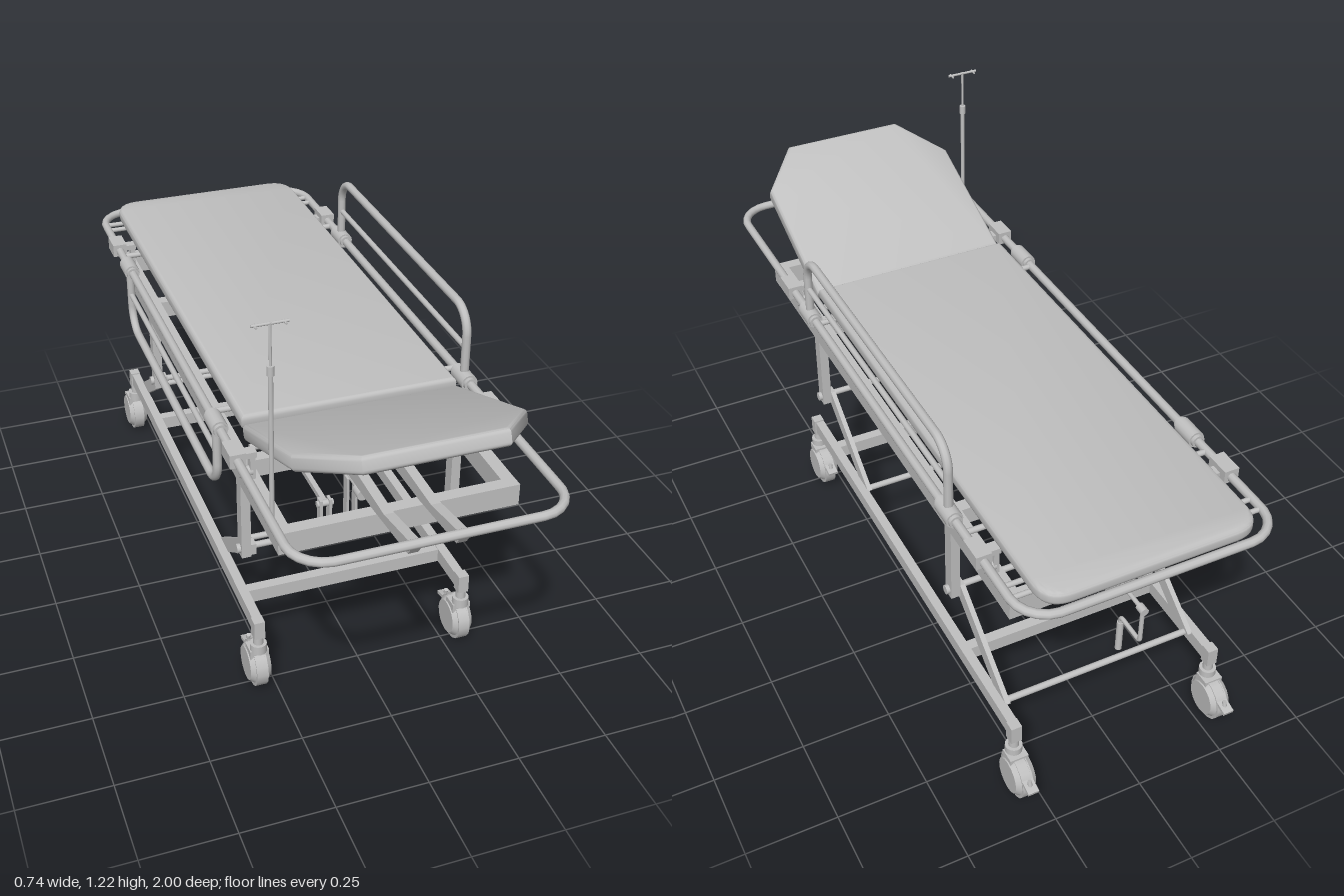
import * as THREE from 'three';
import { toCreasedNormals } from 'three/addons/utils/BufferGeometryUtils.js';

const grey = new THREE.MeshStandardMaterial({ color: 0xc0c0c0 });
grey.name = 'light grey';
const V = (x, y, z) => new THREE.Vector3(x, y, z);

function add(parent, name, geo, x = 0, y = 0, z = 0) {
  const m = new THREE.Mesh(geo, grey);
  m.name = name;
  m.position.set(x, y, z);
  parent.add(m);
  return m;
}
const box = (p, name, w, h, d, x, y, z) => add(p, name, new THREE.BoxGeometry(w, h, d), x, y, z);

// Round bar between two points
function rod(p, name, a, b, r, r2 = r) {
  const dir = b.clone().sub(a);
  const m = add(p, name, new THREE.CylinderGeometry(r2, r, dir.length(), 16));
  m.position.copy(a).add(b).multiplyScalar(0.5);
  m.quaternion.setFromUnitVectors(V(0, 1, 0), dir.normalize());
  return m;
}

// Bent tube through points, corners rounded by radius c
function bentTube(p, name, pts, c, r, closed = false) {
  const path = new THREE.CurvePath();
  const n = pts.length;
  const toward = (a, b) => a.clone().add(b.clone().sub(a).setLength(c));
  let start = closed ? toward(pts[0], pts[1]) : pts[0];
  for (let i = 1; i < (closed ? n + 1 : n - 1); i++) {
    const k = pts[i % n], next = pts[(i + 1) % n];
    const before = toward(k, pts[i - 1]), after = toward(k, next);
    const arm = 0.55;
    path.add(new THREE.LineCurve3(start, before));
    path.add(new THREE.CubicBezierCurve3(before, before.clone().lerp(k, arm), after.clone().lerp(k, arm), after));
    start = after;
  }
  if (!closed) path.add(new THREE.LineCurve3(start, pts[n - 1]));
  path.arcLengthDivisions = 400;
  return add(p, name, new THREE.TubeGeometry(path, closed ? 200 : 100, r, 10, closed));
}

// Plate cut from a side profile of [z, y] points, centred on x
function sidePlate(p, name, pts, w, x) {
  const g = new THREE.ExtrudeGeometry(new THREE.Shape(pts.map(q => new THREE.Vector2(...q))), { depth: w, bevelEnabled: false });
  g.rotateY(-Math.PI / 2);
  g.translate(x + w / 2, 0, 0);
  return add(p, name, g);
}

// Cushion from a plan shape (x, z), top at y = 0, softened edges
function cushion(p, name, shape, thick, bevel) {
  const g = new THREE.ExtrudeGeometry(shape, {
    depth: thick - 2 * bevel, bevelThickness: bevel, bevelSize: bevel, bevelOffset: -bevel, bevelSegments: 4, curveSegments: 10
  });
  g.rotateX(Math.PI / 2);
  g.translate(0, -bevel, 0);
  return add(p, name, toCreasedNormals(g, 0.7));
}

function caster(p, x, z) {
  const g = new THREE.Group();
  g.name = 'caster';
  g.position.set(x, 0, z);
  rod(g, 'casterStem', V(0, 0.14, 0), V(0, 0.19, 0), 0.014);
  rod(g, 'casterSwivel', V(0, 0.125, 0), V(0, 0.152, 0), 0.023);
  rod(g, 'casterWheel', V(-0.016, 0.064, -0.025), V(0.016, 0.064, -0.025), 0.064);
  // side covers with a rounded rim
  for (const s of [-1, 1]) rod(g, 'casterCover', V(s * 0.012, 0.068, -0.025), V(s * 0.029, 0.068, -0.025), 0.061, 0.048);
  box(g, 'casterFork', 0.052, 0.05, 0.045, 0, 0.107, -0.012);
  const pedal = box(g, 'brakePedal', 0.03, 0.01, 0.045, 0, 0.088, -0.092);
  pedal.rotation.x = -0.25;
  rod(g, 'brakePin', V(0, 0.072, -0.098), V(0, 0.105, -0.09), 0.006);
  p.add(g);
}

// Guard rail: up = 1 raised, -1 folded down
function guardRail(p, x, up) {
  const y = 0.755, z0 = 0.355, z1 = -0.575, h = y + up * 0.197;
  bentTube(p, 'guardRail', [V(x, y, z0), V(x, h, z0), V(x, h, z1), V(x, y, z1)], 0.07, 0.012);
  rod(p, 'guardMiddleBar', V(x, y + up * 0.09, z0), V(x, y + up * 0.09, z1), 0.008);
  for (const z of [z0, z1]) {
    rod(p, 'guardHinge', V(x, y, z - 0.035), V(x, y, z + 0.035), 0.023);
    for (const s of [-1, 1]) rod(p, 'guardHingeCollar', V(x, y, z + s * 0.035), V(x, y, z + s * 0.045), 0.018);
  }
}

export function createModel() {
  const g = new THREE.Group();
  g.name = 'stretcher';

  // Main mattress
  const w = 0.295, back = -0.977, c = 0.075;
  const main = new THREE.Shape();
  main.moveTo(-w, 0.412).lineTo(-w, back + c).quadraticCurveTo(-w, back, -w + c, back)
    .lineTo(w - c, back).quadraticCurveTo(w, back, w, back + c).lineTo(w, 0.412).closePath();
  cushion(g, 'mattress', main, 0.04, 0.013).position.y = 0.795;

  // Raised backrest with brackets below
  const rest = new THREE.Group();
  rest.name = 'backrest';
  rest.position.set(0, 0.778, 0.42);
  rest.rotation.x = -0.375;
  const head = new THREE.Shape([[-w, 0], [w, 0], [w, 0.4], [0.18, 0.55], [-0.18, 0.55], [-w, 0.4]].map(q => new THREE.Vector2(...q)));
  cushion(rest, 'backrestCushion', head, 0.045, 0.012);
  for (const x of [-0.083, -0.042, 0.042, 0.083]) {
    sidePlate(rest, 'backrestBracket', [[0, -0.04], [0.45, -0.04], [0.44, -0.048], [0.25, -0.064], [0, -0.07]], 0.022, x);
  }
  g.add(rest);

  // Bars from the hinge to the head end
  for (const x of [-0.06, 0.06]) {
    sidePlate(g, 'headBar', [[0.42, 0.695], [0.6, 0.685], [0.75, 0.69], [0.965, 0.712], [0.99, 0.75], [0.97, 0.75], [0.82, 0.722], [0.42, 0.728]], 0.026, x);
    rod(g, 'hingeBoss', V(x - 0.04, 0.712, 0.43), V(x + 0.04, 0.712, 0.43), 0.022);
  }
  rod(g, 'hingeShaft', V(-0.28, 0.712, 0.43), V(0.28, 0.712, 0.43), 0.009);

  // Perimeter tube
  const px = 0.345, pz = 0.988;
  bentTube(g, 'perimeterTube', [V(-px, 0.755, -pz), V(px, 0.755, -pz), V(px, 0.755, pz), V(-px, 0.755, pz)], 0.09, 0.012, true);

  // Upper frame
  for (const s of [-1, 1]) box(g, 'upperSideBeam', 0.035, 0.06, 1.605, s * 0.297, 0.65, -0.0425);
  for (const z of [0.743, 0.42, -0.49, -0.828]) box(g, 'upperCrossBeam', z > 0.7 || z < -0.8 ? 0.63 : 0.56, z > 0.7 || z < -0.8 ? 0.06 : 0.05, 0.035, 0, 0.65, z);

  for (const s of [-1, 1]) {
    // Clamps and brackets carrying the perimeter tube
    for (const z of [0.51, -0.735]) {
      box(g, 'tubeClamp', 0.042, 0.038, 0.07, s * 0.345, 0.757, z);
      box(g, 'clampArm', 0.05, 0.016, 0.03, s * 0.315, 0.752, z);
      box(g, 'clampPost', 0.014, 0.08, 0.024, s * 0.3, 0.715, z);
      rod(g, 'clampKnob', V(s * 0.3, 0.7, z), V(s * 0.335, 0.7, z), 0.014);
    }
    for (const z of [0.3, -0.66]) rod(g, 'mattressSupport', V(s * 0.26, 0.755, z), V(s * 0.345, 0.755, z), 0.008);
    for (const z of [-0.86, -0.9]) rod(g, 'cornerPin', V(s * 0.27, 0.755, z), V(s * 0.335, 0.755, z), 0.007);
  }
  guardRail(g, 0.345, 1);
  guardRail(g, -0.345, -1);

  // Lifting legs: posts, swing arms, shafts and levers
  for (const z of [0.422, -0.492]) {
    for (const s of [-1, 1]) {
      box(g, 'legPost', 0.026, 0.25, 0.036, s * 0.297, 0.5, z);
      sidePlate(g, 'swingArm', [[z + 0.015, 0.378], [z + 0.015, 0.41], [z - 0.015, 0.41], [z - 0.285, 0.222], [z - 0.225, 0.215]], 0.014, s * 0.276);
      rod(g, 'pivotCap', V(s * 0.305, 0.397, z), V(s * 0.32, 0.397, z), 0.013);
    }
    rod(g, 'legShaft', V(-0.31, 0.397, z), V(0.31, 0.397, z), 0.009);
    rod(g, 'armFootRod', V(-0.28, 0.216, z - 0.265), V(0.28, 0.216, z - 0.265), 0.009);
    for (const x of [-0.086, -0.06]) box(g, 'linkLever', 0.008, 0.115, 0.024, x, 0.443, z);
    rod(g, 'linkPin', V(-0.096, 0.487, z), V(-0.05, 0.487, z), 0.009);
  }
  box(g, 'linkBar', 0.014, 0.016, 0.914, -0.073, 0.487, -0.035);
  for (const x of [-0.012, 0.012]) box(g, 'liftLever', 0.007, 0.18, 0.026, x, 0.468, 0.422);

  // Lifting screw, gearbox and crank
  rod(g, 'screwKnob', V(0, 0.553, 0.475), V(0, 0.552, 0.51), 0.016);
  rod(g, 'liftScrew', V(0, 0.553, 0.5), V(0, 0.59, -0.7), 0.008);
  rod(g, 'screwSleeve', V(0, 0.566, 0.1), V(0, 0.588, -0.62), 0.012);
  rod(g, 'gearHousing', V(0, 0.59, -0.62), V(0, 0.59, -0.68), 0.027);
  box(g, 'gearBracket', 0.07, 0.04, 0.19, 0, 0.588, -0.74);
  for (const s of [-1, 1]) box(g, 'bracketHanger', 0.008, 0.05, 0.05, s * 0.032, 0.6, -0.815);
  bentTube(g, 'crank', [V(0, 0.592, -0.8), V(0, 0.592, -0.935), V(0, 0.483, -0.935), V(0, 0.483, -0.845), V(0, 0.38, -0.845)], 0.01, 0.006);
  rod(g, 'crankHub', V(0, 0.592, -0.92), V(0, 0.592, -0.945), 0.011);
  rod(g, 'crankGrip', V(0, 0.37, -0.845), V(0, 0.465, -0.845), 0.009);

  // Base frame and casters
  for (const s of [-1, 1]) {
    box(g, 'baseRail', 0.026, 0.04, 1.37, s * 0.293, 0.205, -0.16);
    for (const z of [0.523, -0.846]) {
      box(g, 'casterSocket', 0.03, 0.054, 0.03, s * 0.295, 0.202, z);
      caster(g, s * 0.295, z);
    }
  }
  for (const z of [0.38, -0.55]) box(g, 'baseCrossBar', 0.57, 0.04, 0.03, 0, 0.203, z);

  // Drip pole with hooks
  const ix = -0.312, iz = 0.707;
  rod(g, 'dripPole', V(ix, 0.66, iz), V(ix, 1.1, iz), 0.006);
  rod(g, 'dripPoleTop', V(ix, 1.1, iz), V(ix, 1.22, iz), 0.0035);
  rod(g, 'dripCollar', V(ix, 1.085, iz), V(ix, 1.11, iz), 0.009);
  rod(g, 'hookBar', V(ix - 0.045, 1.217, iz), V(ix + 0.045, 1.217, iz), 0.0035);
  for (const s of [-1, 1]) rod(g, 'hook', V(ix + s * 0.035, 1.215, iz - 0.01), V(ix + s * 0.035, 1.215, iz + 0.01), 0.003);
  return g;
}
